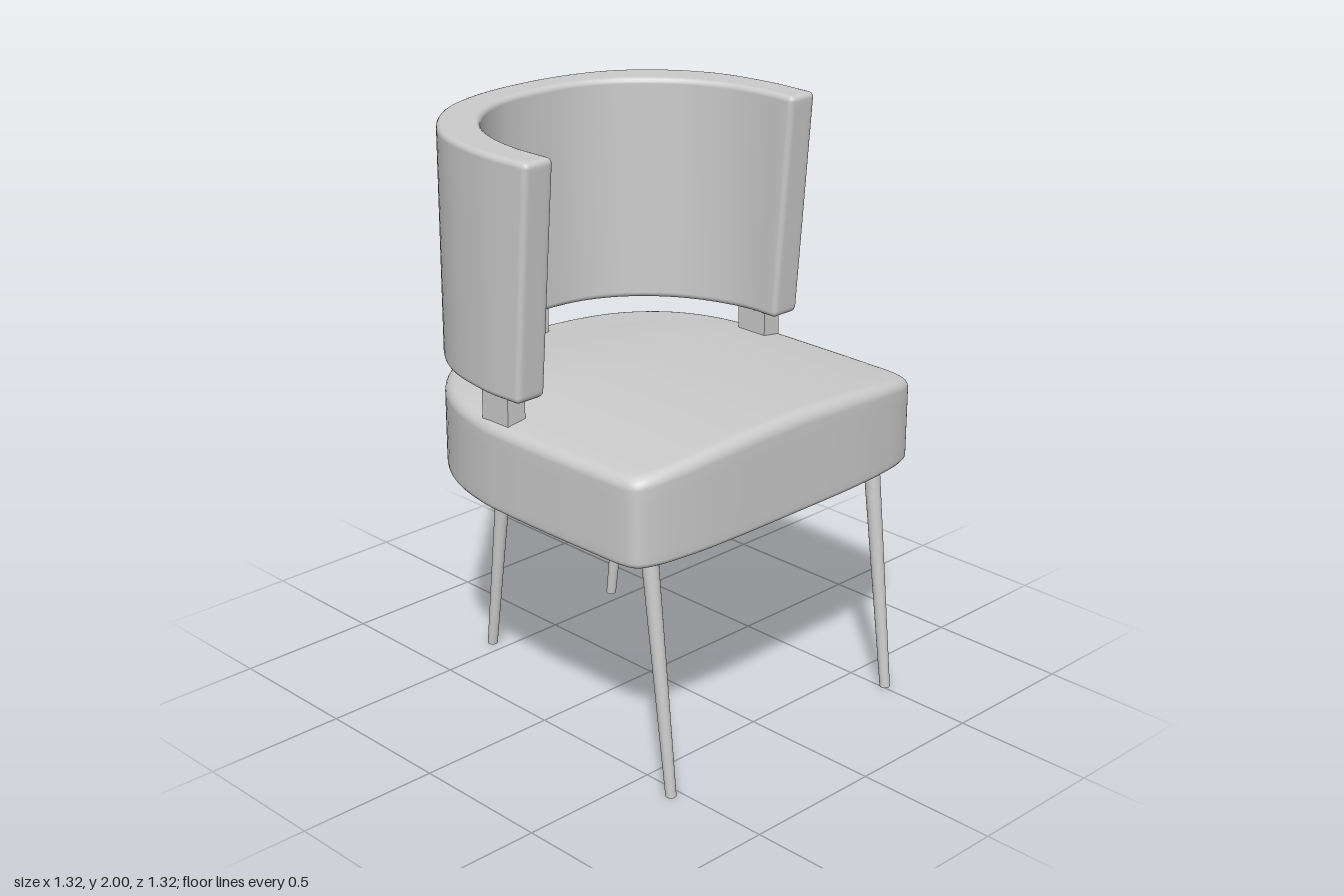
import * as THREE from 'three';

const material = new THREE.MeshStandardMaterial({ color: 0xcccccc });
const V = (x, y, z) => new THREE.Vector3(x, y, z);

// Closed smooth skin over a list of equal-length vertex loops, capped at both ends
function loft(rings) {
  const n = rings[0].length, positions = [], index = [];
  rings.forEach(r => r.forEach(p => positions.push(p.x, p.y, p.z)));
  for (let i = 0; i < rings.length - 1; i++) {
    for (let j = 0; j < n; j++) {
      const k = (j + 1) % n;
      const a = i * n + j, b = i * n + k, c = a + n, d = b + n;
      index.push(a, b, d, a, d, c);
    }
  }
  [0, rings.length - 1].forEach(i => {
    const center = rings[i].reduce((s, p) => s.add(p), V(0, 0, 0)).divideScalar(n);
    const c = positions.length / 3;
    positions.push(center.x, center.y, center.z);
    for (let j = 0; j < n; j++) {
      const a = i * n + j, b = i * n + (j + 1) % n;
      if (i === 0) index.push(c, b, a); else index.push(c, a, b);
    }
  });
  const g = new THREE.BufferGeometry();
  g.setAttribute('position', new THREE.Float32BufferAttribute(positions, 3));
  g.setIndex(index);
  g.computeVertexNormals();
  return g;
}

function addMesh(parent, name, geometry) {
  const mesh = new THREE.Mesh(geometry, material);
  mesh.name = name;
  parent.add(mesh);
  return mesh;
}

// Seat cushion: D-shaped outline, rounded edges, crowned top
function seatGeometry() {
  const half = [[0, 0.65], [0.3, 0.648], [0.46, 0.638], [0.58, 0.618], [0.63, 0.595], [0.648, 0.56],
    [0.657, 0.38], [0.66, 0.2], [0.658, 0], [0.65, -0.12], [0.605, -0.3], [0.51, -0.46],
    [0.37, -0.58], [0.19, -0.643], [0, -0.66]];
  const left = half.slice(1, -1).reverse().map(([x, z]) => [-x, z]);
  const curve = new THREE.CatmullRomCurve3([...half, ...left].map(([x, z]) => V(x, 0, z)), true);
  const count = 112;
  const outline = Array.from({ length: count }, (_, i) => curve.getPoint(i / count));

  // [inset, height, crown weight] for each loop, bottom to top
  const levels = [[0.5, 0.808, 0], [0.06, 0.808, 0], [0.02, 0.808, 0]];
  for (let i = 1; i <= 4; i++) {
    const a = i / 4 * Math.PI / 2;
    levels.push([0.02 * (1 - Math.sin(a)), 0.828 - 0.02 * Math.cos(a), 0]);
  }
  levels.push([0, 0.85, 0], [0, 1.03, 0.6]);
  for (let i = 0; i <= 5; i++) {
    const a = i / 5 * Math.PI / 2;
    levels.push([0.035 * (1 - Math.cos(a)), 1.07 + 0.035 * Math.sin(a), 0.8 + 0.2 * i / 5]);
  }
  [0.06, 0.12, 0.2, 0.3, 0.4, 0.5, 0.6].forEach(inset => levels.push([inset, 1.105, 1]));

  return loft(levels.map(([inset, y, weight]) => outline.map(p => {
    const s = 1 - inset / 0.66, x = p.x * s, z = p.z * s;
    const back = THREE.MathUtils.smoothstep(-z, 0.15, 0.72);
    const crown = 0.05 * Math.max(0, 1 - (x / 0.65) ** 2) * (1 - back);
    return V(x, y + weight * crown, z);
  })));
}

// Wraparound backrest: rounded slab section swept round a U, arm fronts leaning forward
function backrestGeometry() {
  const bottom = 1.205, top = 2, r = 0.02, end = 0.13;
  const outerHalf = [[-0.648, end - r], [-0.65, -0.08], [-0.607, -0.3], [-0.51, -0.46],
    [-0.37, -0.58], [-0.19, -0.643], [0, -0.66]];
  const innerHalf = [[-0.53, end - r], [-0.53, -0.04], [-0.505, -0.18], [-0.435, -0.325],
    [-0.315, -0.45], [-0.175, -0.52], [0, -0.54]];
  const path = half => new THREE.CatmullRomCurve3([...half,
    ...half.slice(0, -1).reverse().map(([x, z]) => [-x, z])].map(([x, z]) => V(x, 0, z)));
  const outer = path(outerHalf), inner = path(innerHalf);

  const section = (t, inset, push) => {
    const o = outer.getPoint(t), i = inner.getPoint(t);
    const mid = o.clone().add(i).multiplyScalar(0.5), dir = o.clone().sub(i).normalize();
    const radius = Math.max(r - inset, 0.003);
    const w = o.distanceTo(i) / 2 - inset - radius;
    const h = (top - bottom) / 2 - inset - radius;
    const loop = [];
    [[1, -1], [1, 1], [-1, 1], [-1, -1]].forEach(([su, sv], q) => {
      for (let k = 0; k <= 4; k++) {
        const a = (q - 1 + k / 4) * Math.PI / 2;
        const u = su * w + radius * Math.cos(a), v = sv * h + radius * Math.sin(a);
        const p = mid.clone().addScaledVector(dir, u);
        p.y = (top + bottom) / 2 + v;
        p.z += push;
        const lean = THREE.MathUtils.clamp((p.z + 0.15) / (end + 0.15), 0, 1);
        p.z -= lean * 0.062 * (top - p.y) / (top - bottom);
        loop.push(p);
      }
    });
    return loop;
  };

  const cap = t => [0.5, 1, 2, 3, 4].map(k => {
    if (k === 0.5) return section(t, 0.035, r);
    const a = (5 - k) / 4 * Math.PI / 2;
    return section(t, r * (1 - Math.cos(a)), r * Math.sin(a));
  });
  const rings = cap(0);
  for (let i = 0; i <= 72; i++) rings.push(section(i / 72, 0, 0));
  rings.push(...cap(1).reverse());
  return loft(rings);
}

// Tapered leg, sheared so that both ends stay level
function legGeometry(lean) {
  const height = 0.83;
  const g = new THREE.CylinderGeometry(0.028, 0.018, height, 20);
  g.translate(0, height / 2, 0);
  g.applyMatrix4(new THREE.Matrix4().set(1, 0, 0, 0, 0, 1, 0, 0, 0, lean / height, 1, 0, 0, 0, 0, 1));
  return g;
}

export function createModel() {
  const chair = new THREE.Group();
  chair.name = 'chair';

  addMesh(chair, 'seat', seatGeometry());
  addMesh(chair, 'backrest', backrestGeometry());

  // Blocks joining seat and backrest
  [['leftSupport', 0.593, -0.0625, 0.073, 0.125], ['rightSupport', -0.593, -0.0625, 0.073, 0.125],
    ['backSupport', -0.01, -0.595, 0.12, 0.06]].forEach(([name, x, z, w, d]) => {
    addMesh(chair, name, new THREE.BoxGeometry(w, 0.17, d)).position.set(x, 1.145, z);
  });

  // Splayed legs
  [['frontLeftLeg', 0.512, 0.645, -0.1], ['frontRightLeg', -0.535, 0.645, -0.1],
    ['backLeftLeg', 0.334, -0.556, 0.104], ['backRightLeg', -0.254, -0.556, 0.104]].forEach(([name, x, z, lean]) => {
    addMesh(chair, name, legGeometry(lean)).position.set(x, 0, z);
  });

  return chair;
}
